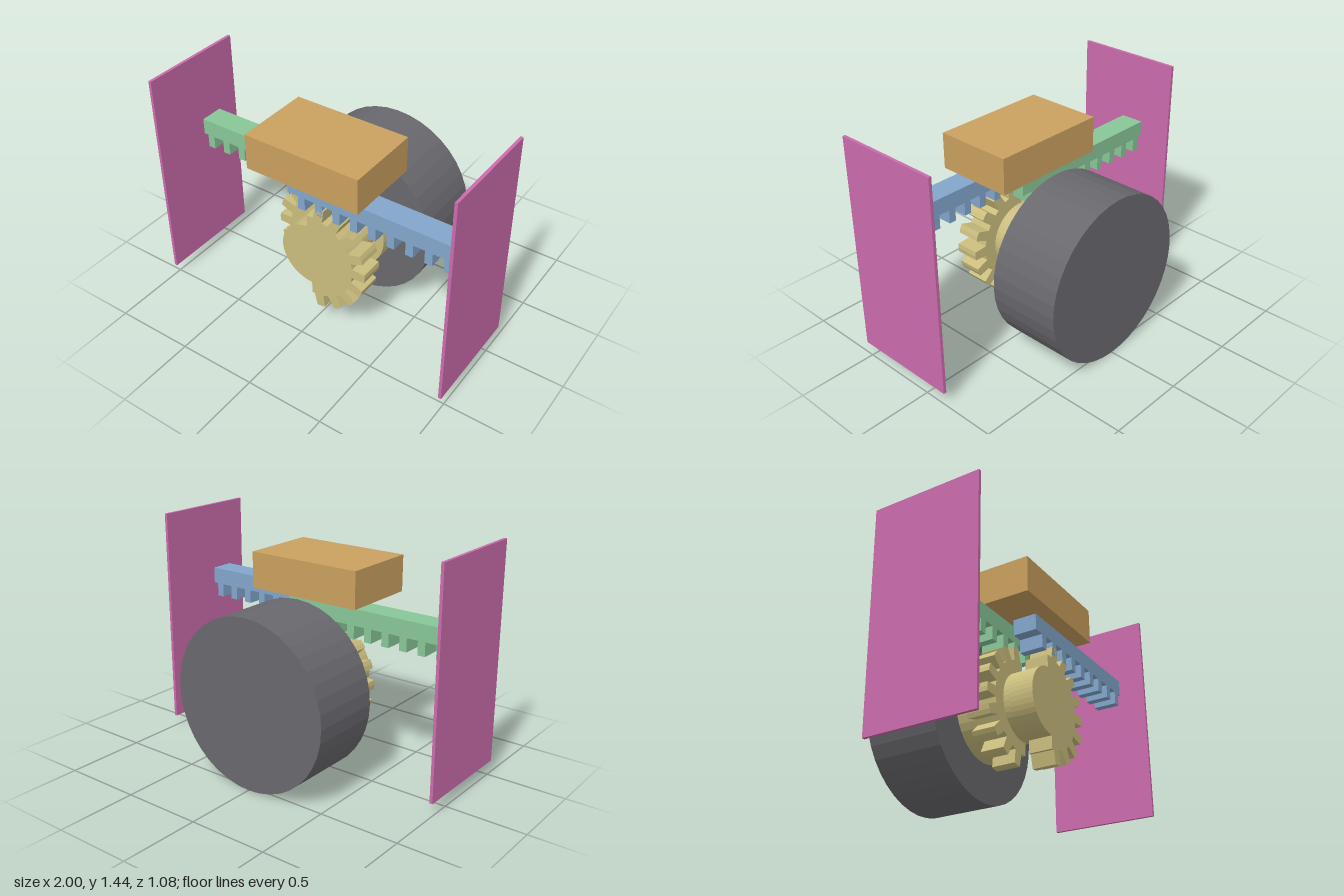
import * as THREE from 'three';

const mat = (name, color) => {
  const m = new THREE.MeshStandardMaterial({ color });
  m.name = name;
  return m;
};

export function createModel() {
  const model = new THREE.Group();
  const grey = mat('motor grey', 0x69686d);
  const gold = mat('gear gold', 0xcabd7e);
  const orange = mat('block orange', 0xcaa05f);
  const green = mat('rack green', 0x88c698);
  const blue = mat('rack blue', 0x82a5cb);
  const pink = mat('panel pink', 0xca6cab);
  const axisY = 0.527;

  const add = (name, geometry, material, x = 0, y = 0, z = 0) => {
    const mesh = new THREE.Mesh(geometry, material);
    mesh.name = name;
    mesh.position.set(x, y, z);
    model.add(mesh);
    return mesh;
  };
  const box = (name, material, x0, x1, y0, y1, z0, z1) =>
    add(name, new THREE.BoxGeometry(x1 - x0, y1 - y0, z1 - z0), material,
      (x0 + x1) / 2, (y0 + y1) / 2, (z0 + z1) / 2);
  // cylinder lying along z, on the drive axis
  const disc = (name, material, r, z0, z1) => {
    const g = new THREE.CylinderGeometry(r, r, z1 - z0, 40).rotateX(Math.PI / 2).toNonIndexed();
    g.computeVertexNormals();
    return add(name, g, material, 0, axisY, (z0 + z1) / 2);
  };

  // motor drum and the flange on its front
  disc('motor', grey, 0.527, -0.54, -0.08);
  disc('gearFlange', gold, 0.285, -0.08, 0.04);
  // spacer joining the two half gears
  disc('gearSpacer', gold, 0.21, 0.19, 0.23);

  // half-toothed gear: nine teeth on one side, plain small hub on the other
  const halfGear = () => {
    const pts = [];
    const polar = (r, deg) => {
      const a = THREE.MathUtils.degToRad(deg);
      pts.push(new THREE.Vector2(r * Math.cos(a), r * Math.sin(a)));
    };
    polar(0.29, -90);
    for (let i = -4; i <= 4; i++) {
      const c = i * 20;
      polar(0.29, c - 6.5);
      polar(0.374, c - 4.3);
      polar(0.376, c);
      polar(0.374, c + 4.3);
      polar(0.29, c + 6.5);
    }
    polar(0.29, 95);
    for (let d = 97; d <= 270; d += 8) polar(0.21, d);
    polar(0.21, 270);
    return new THREE.ExtrudeGeometry(new THREE.Shape(pts), { depth: 0.15, bevelEnabled: false });
  };
  add('frontGear', halfGear(), gold, 0, axisY, 0.23);
  add('rearGear', halfGear(), gold, 0, axisY, 0.04).rotation.z = Math.PI;

  // toothed rack, running out towards the given side
  const rack = (name, material, side, z) => {
    const s = new THREE.Shape();
    const pt = (x, y) => [x * side, y];
    s.moveTo(...pt(-0.155, 1.027));
    s.lineTo(...pt(-0.155, 0.925));
    for (let i = 0; i < 9; i++) {
      const c = -0.06 + i * 0.1195;
      s.lineTo(...pt(c - 0.024, 0.925));
      s.lineTo(...pt(c - 0.024, 0.84));
      s.lineTo(...pt(c + 0.024, 0.84));
      s.lineTo(...pt(c + 0.024, 0.925));
    }
    s.lineTo(...pt(0.95, 0.925));
    s.lineTo(...pt(0.95, 1.027));
    add(name, new THREE.ExtrudeGeometry(s, { depth: 0.15, bevelEnabled: false }), material, 0, 0, z);
  };
  rack('leftRack', blue, 1, 0.23);
  rack('rightRack', green, -1, 0.04);

  // guide block above the racks
  box('guideBlock', orange, -0.378, 0.378, 1.047, 1.273, -0.033, 0.46);

  // thin side panels
  box('leftPanel', pink, 0.981, 1, 0.076, 1.444, -0.147, 0.54);
  box('rightPanel', pink, -1, -0.981, 0.076, 1.444, -0.147, 0.54);

  return model;
}
